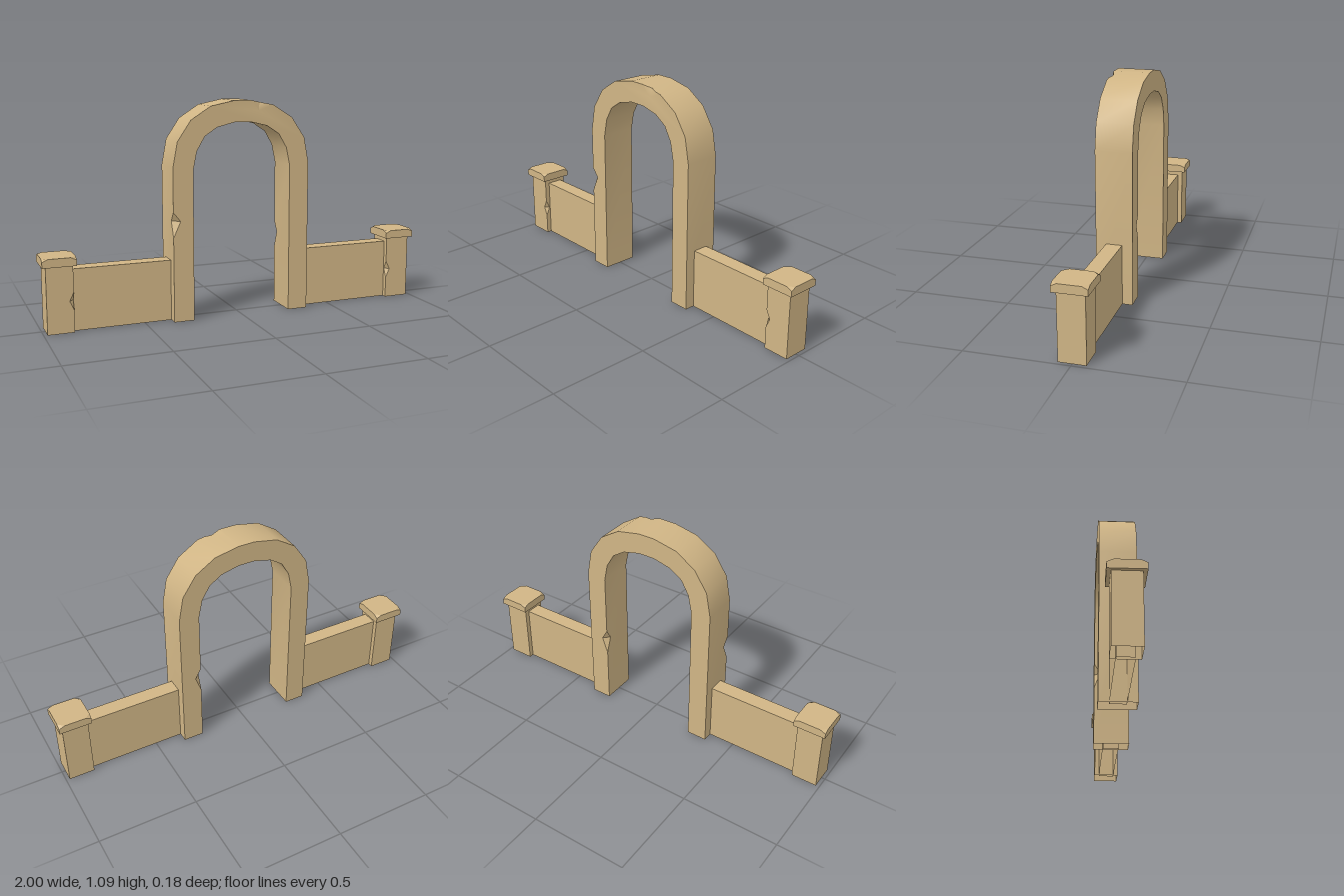
import * as THREE from 'three';
import { toCreasedNormals } from 'three/addons/utils/BufferGeometryUtils.js';
import { ConvexGeometry } from 'three/addons/geometries/ConvexGeometry.js';

const V = (p, z) => new THREE.Vector3(p[0], p[1], z);

// Adds a planar polygon (counter-clockwise from outside) as triangles
function addPolygon(out, pts) {
  const n = new THREE.Vector3();
  pts.forEach((p, i) => n.add(p.clone().cross(pts[(i + 1) % pts.length])));
  n.normalize();
  const u = pts[1].clone().sub(pts[0]).normalize();
  const v = n.clone().cross(u);
  const flat = pts.map(p => new THREE.Vector2(p.dot(u), p.dot(v)));
  for (const [a, b, c] of THREE.ShapeUtils.triangulateShape(flat, [])) {
    const turn = flat[b].clone().sub(flat[a]).cross(flat[c].clone().sub(flat[a]));
    for (const i of turn > 0 ? [a, b, c] : [a, c, b]) out.push(...pts[i].toArray());
  }
}

// Extrudes a counter-clockwise outline from -h to h in z. Segments in `open` get no side face.
// Each chip cuts a notch in one front (side 1) or back (side -1) edge:
// start, deepest and end point along the segment, depth in the face and depth in z.
function chippedPrism(loop, h, open, chips = {}) {
  const out = [], front = [], back = [];
  loop.forEach((p, i) => {
    const q = loop[(i + 1) % loop.length];
    const chip = chips[i];
    front.push(V(p, h));
    back.push(V(p, -h));
    const side = [V(p, h), V(p, -h), V(q, -h), V(q, h)];
    if (chip) {
      const s = chip.side, z = s * h;
      const d = [q[0] - p[0], q[1] - p[1]], len = Math.hypot(...d);
      const at = t => [p[0] + d[0] * t, p[1] + d[1] * t];
      const [t0, tm, t1] = chip.t;
      const m = at(tm);
      const A = V(at(t0), z), B = V(at(t1), z), Q = V(m, z - s * chip.zDepth);
      const P = V([m[0] - d[1] / len * chip.depth, m[1] + d[0] / len * chip.depth], z);
      (s > 0 ? front : back).push(A, P, B);
      if (s > 0) side.push(B, Q, A);
      else side.splice(2, 0, A, Q, B);
      addPolygon(out, s > 0 ? [A, Q, P] : [A, P, Q]);
      addPolygon(out, s > 0 ? [B, P, Q] : [B, Q, P]);
    }
    if (!open.includes(i)) addPolygon(out, side);
  });
  addPolygon(out, front);
  addPolygon(out, back.reverse());
  const g = new THREE.BufferGeometry();
  g.setAttribute('position', new THREE.Float32BufferAttribute(out, 3));
  return toCreasedNormals(g, 0.5);
}

const rect = (x0, x1, y1) => [[x0, 0], [x1, 0], [x1, y1], [x0, y1]];

// Block whose four top corners are knocked off
function capGeometry(x0, x1, y0, y1, h, cut, drop) {
  const pts = [];
  for (const [x, sx] of [[x0, 1], [x1, -1]]) {
    for (const s of [-1, 1]) {
      pts.push(V([x, y0], s * h), V([x, y1 - drop], s * h),
        V([x + sx * cut, y1], s * h), V([x, y1], s * (h - cut)));
    }
  }
  return new ConvexGeometry(pts);
}

export function createModel() {
  const model = new THREE.Group();
  model.name = 'gardenArch';
  const sandstone = new THREE.MeshStandardMaterial({ color: 0xd0b585, side: THREE.DoubleSide });
  sandstone.name = 'sandstone';
  const add = (parent, name, geometry) => {
    const mesh = new THREE.Mesh(geometry, sandstone);
    mesh.name = name;
    parent.add(mesh);
    return mesh;
  };

  // Arch: outer curve right to left, then inner curve left to right
  const outer = [[0.361, 0], [0.361, 0.765], [0.337, 0.893], [0.268, 0.995], [0.166, 1.06], [0.042, 1.085]];
  const inner = [[0.257, 0], [0.257, 0.754], [0.238, 0.845], [0.197, 0.915], [0.133, 0.957], [0.042, 0.979]];
  const mirror = pts => pts.map(([x, y]) => [-x, y]);
  const loop = [...outer, ...mirror(outer).reverse(), ...mirror(inner), ...inner.slice().reverse()];
  const arch = add(model, 'arch', chippedPrism(loop, 0.091, [11, 23], {
    4: { side: 1, t: [0.29, 0.57, 0.93], depth: 0.042, zDepth: 0.014 },
    10: { side: 1, t: [0.28, 0.34, 0.445], depth: 0.037, zDepth: 0.035 },
    22: { side: -1, t: [0.42, 0.49, 0.6], depth: 0.03, zDepth: 0.03 },
  }));
  arch.position.x = -0.0025;

  // Low wall, end pillar and cap on each side
  const wall = chippedPrism(rect(0.335, 0.875, 0.305), 0.04, [0]);
  const pillar = chippedPrism(rect(0.852, 0.982, 0.33), 0.065, [0], {
    3: { side: 1, t: [0.4, 0.53, 0.67], depth: 0.021, zDepth: 0.021 },
  });
  const cap = capGeometry(0.837, 1, 0.328, 0.37, 0.083, 0.028, 0.013);
  for (const [name, s] of [['left', 1], ['right', -1]]) {
    const wing = new THREE.Group();
    wing.name = name + 'Wing';
    wing.scale.x = s;
    add(wing, name + 'Wall', wall);
    add(wing, name + 'Pillar', pillar);
    add(wing, name + 'Cap', cap);
    model.add(wing);
  }
  return model;
}
